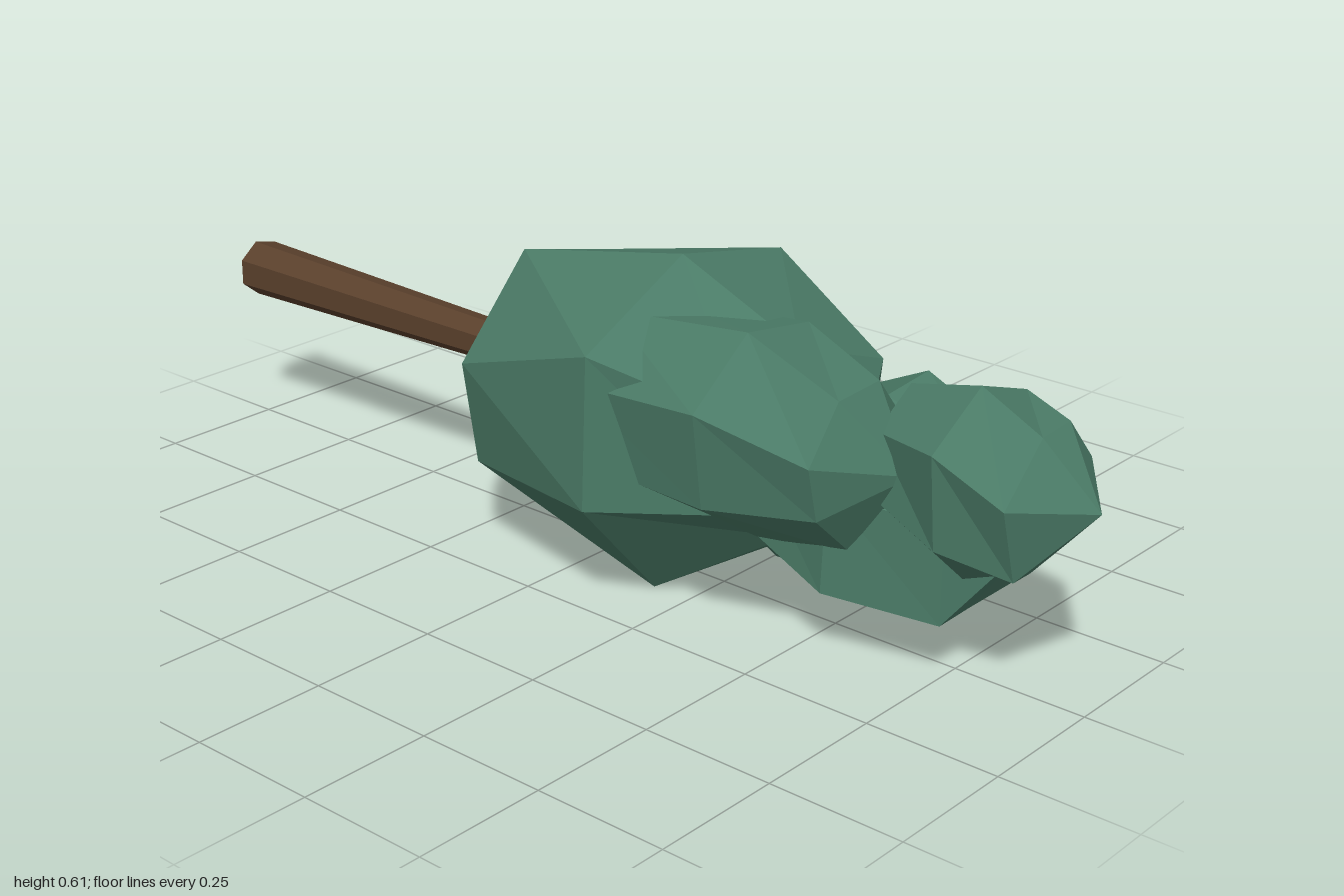
import * as THREE from 'three';

const SIDES = 7;
const leaf = new THREE.MeshStandardMaterial({ color: 0x4a7a66, flatShading: true });
const bark = new THREE.MeshStandardMaterial({ color: 0x5a402c, flatShading: true, side: THREE.DoubleSide });

// Regular ring around the z axis, clockwise as seen from the front
function ring(cx, cy, r, phase = 96) {
  return Array.from({ length: SIDES }, (_, i) => {
    const a = THREE.MathUtils.degToRad(phase - i * 360 / SIDES);
    return [cx + r * Math.cos(a), cy + r * Math.sin(a)];
  });
}

// Faceted clump of leaves: back pole, clockwise rings [z, points], front pole
function clump(name, backPole, rings, frontPole) {
  const positions = [...backPole];
  for (const [z, pts] of rings) for (const [x, y] of pts) positions.push(x, y, z);
  positions.push(...frontPole);

  const at = (r, i) => 1 + r * SIDES + i % SIDES;
  const last = rings.length - 1;
  const front = 1 + rings.length * SIDES;
  const index = [];
  for (let i = 0; i < SIDES; i++) {
    index.push(0, at(0, i), at(0, i + 1));
    for (let r = 0; r < last; r++) {
      index.push(at(r, i), at(r + 1, i), at(r, i + 1));
      index.push(at(r + 1, i), at(r + 1, i + 1), at(r, i + 1));
    }
    index.push(front, at(last, i + 1), at(last, i));
  }

  const indexed = new THREE.BufferGeometry();
  indexed.setAttribute('position', new THREE.Float32BufferAttribute(positions, 3));
  indexed.setIndex(index);
  const geometry = indexed.toNonIndexed();
  geometry.computeVertexNormals();
  const mesh = new THREE.Mesh(geometry, leaf);
  mesh.name = name;
  return mesh;
}

export function createModel() {
  const tree = new THREE.Group();
  tree.name = 'fallenTree';

  // Tapered open trunk, thick end at the back
  const trunkGeo = new THREE.CylinderGeometry(0.038, 0.058, 0.8, SIDES, 1, true, Math.PI / 2);
  trunkGeo.rotateX(Math.PI / 2);
  const trunk = new THREE.Mesh(trunkGeo, bark);
  trunk.name = 'trunk';
  trunk.position.set(0.004, 0.319, -0.6);
  tree.add(trunk);

  // Large clump around the trunk top, reaching into the other clumps
  tree.add(clump('largeFoliage', [0.005, 0.325, -0.345], [
    [-0.17, [[-0.07, 0.555], [0.155, 0.5], [0.275, 0.32], [0.15, 0.17],
      [-0.02, 0.095], [-0.2, 0.18], [-0.235, 0.38]]],
    [0.17, [[-0.03, 0.61], [0.245, 0.555], [0.287, 0.285], [0.165, 0.07],
      [-0.1, 0], [-0.29, 0.21], [-0.28, 0.49]]],
    [0.43, [[-0.03, 0.5], [0.21, 0.415], [0.185, 0.27], [0.1, 0.14],
      [-0.05, 0.16], [-0.17, 0.24], [-0.18, 0.41]]],
  ], [0, 0.32, 0.54]));

  // Upper clump, toward the model's right
  tree.add(clump('upperFoliage', [-0.08, 0.36, 0.04], [
    [0.12, ring(-0.1, 0.37, 0.17, 110)],
    [0.4, [[-0.135, 0.55], [0.03, 0.525], [0.11, 0.4], [0.07, 0.24],
      [-0.1, 0.17], [-0.25, 0.27], [-0.275, 0.445]]],
    [0.6, [[-0.15, 0.485], [-0.04, 0.49], [0.05, 0.38], [0.02, 0.27],
      [-0.1, 0.2], [-0.2, 0.29], [-0.225, 0.39]]],
  ], [-0.08, 0.36, 0.7]));

  // Lower clump, toward the model's left
  tree.add(clump('lowerFoliage', [0.07, 0.22, 0.26], [
    [0.35, ring(0.075, 0.225, 0.16)],
    [0.56, [[0.04, 0.43], [0.16, 0.44], [0.275, 0.31], [0.235, 0.14],
      [0.09, 0.04], [-0.13, 0.125], [-0.12, 0.31]]],
    [0.76, [[0.05, 0.36], [0.16, 0.35], [0.225, 0.21], [0.15, 0.11],
      [0.015, 0.11], [-0.07, 0.108], [-0.07, 0.28]]],
  ], [0.08, 0.25, 0.85]));

  // Small clump at the tip
  tree.add(clump('tipFoliage', [0.01, 0.355, 0.57], [
    [0.63, ring(0.02, 0.355, 0.125)],
    [0.78, [[-0.015, 0.52], [0.12, 0.475], [0.19, 0.34], [0.11, 0.26],
      [-0.04, 0.19], [-0.13, 0.27], [-0.148, 0.44]]],
    [0.9, [[-0.02, 0.465], [0.06, 0.47], [0.135, 0.385], [0.08, 0.25],
      [-0.03, 0.235], [-0.08, 0.235], [-0.12, 0.37]]],
  ], [0.005, 0.355, 1]));

  return tree;
}
